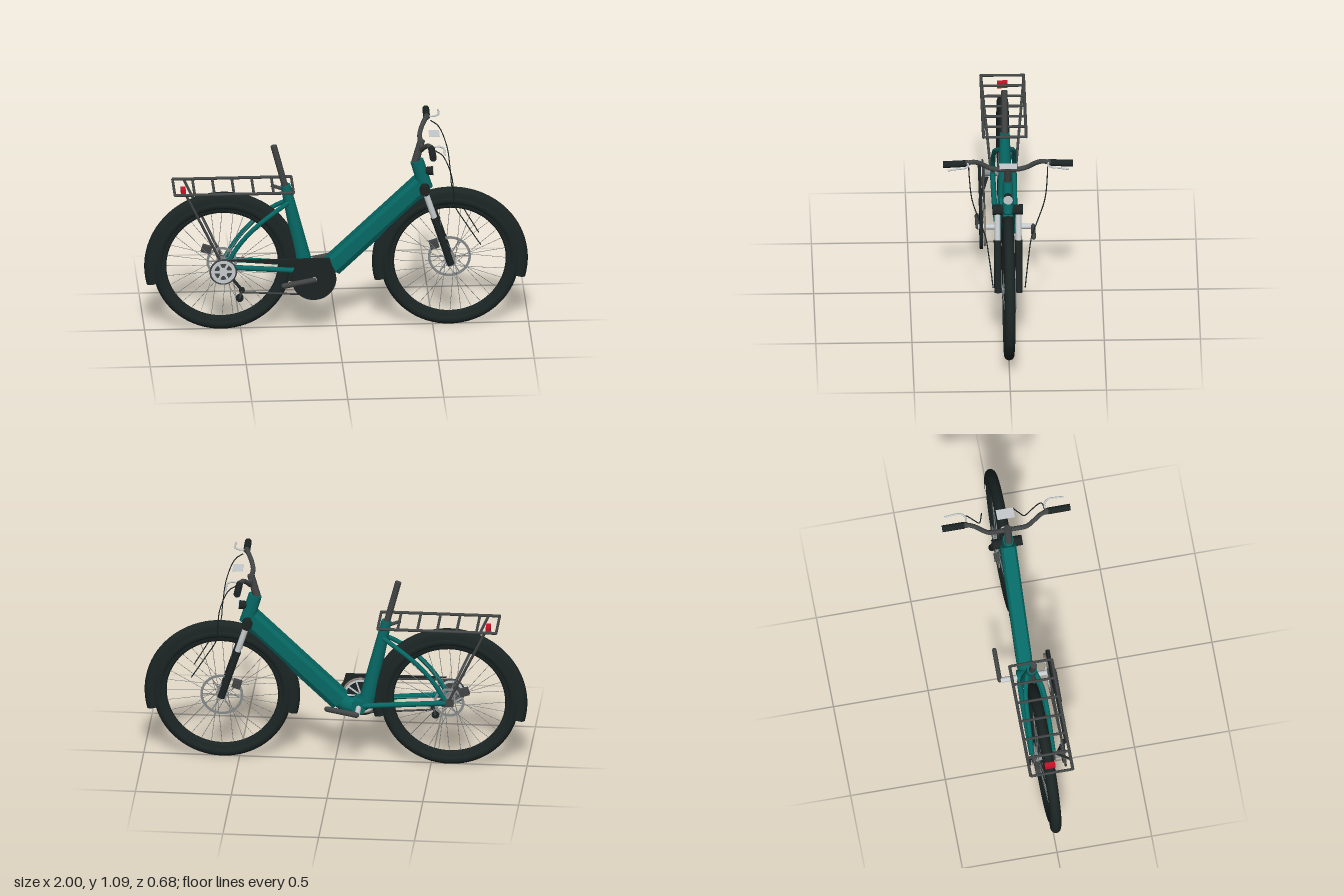
import * as THREE from 'three';

const V = (x, y, z) => new THREE.Vector3(x, y, z);
const mat = (name, color, opts = {}) => {
  const m = new THREE.MeshStandardMaterial({ color, ...opts });
  m.name = name;
  return m;
};

export function createModel() {
  const teal = mat('teal paint', 0x066864);
  const rubber = mat('black rubber', 0x1a2423);
  const fenderBlack = mat('fender black', 0x1b2524, { side: THREE.DoubleSide });
  const black = mat('black plastic', 0x1c2423);
  const grey = mat('dark grey metal', 0x424545);
  const steel = mat('steel', 0x868a8b);
  const silver = mat('silver', 0xc6cbcd);
  const chainMetal = mat('chain metal', 0x8f8677);
  const red = mat('red lens', 0xcc1029);
  const bike = new THREE.Group();
  bike.name = 'bicycle';

  const add = (name, geo, material, parent = bike) => {
    const m = new THREE.Mesh(geo, material);
    m.name = name;
    parent.add(m);
    return m;
  };
  // straight round bar from a to b
  const rod = (name, a, b, r, material, parent = bike, r2 = r, sides = 14) => {
    const m = add(name, new THREE.CylinderGeometry(r2, r, a.distanceTo(b), sides), material, parent);
    m.position.copy(a).lerp(b, 0.5);
    m.quaternion.setFromUnitVectors(V(0, 1, 0), b.clone().sub(a).normalize());
    return m;
  };
  // bent round bar through points
  const bent = (name, pts, r, material, sides = 10) =>
    add(name, new THREE.TubeGeometry(new THREE.CatmullRomCurve3(pts), 48, r, sides), material);
  const box = (name, w, h, d, x, y, z, material, rot = 0) => {
    const m = add(name, new THREE.BoxGeometry(w, h, d), material);
    m.position.set(x, y, z);
    m.rotation.z = rot;
    return m;
  };
  // flat ring facing z, with arms to the centre
  const spider = (name, outer, inner, depth, arms, armWidth, material, parent) => {
    const g = new THREE.Group();
    g.name = name;
    const s = new THREE.Shape().absarc(0, 0, outer, 0, Math.PI * 2);
    s.holes.push(new THREE.Path().absarc(0, 0, inner, 0, Math.PI * 2, true));
    add(name + 'Ring', new THREE.ExtrudeGeometry(s, { depth, bevelEnabled: false, curveSegments: 40 })
      .translate(0, 0, -depth / 2), material, g);
    for (let i = 0; i < arms; i++) {
      const a = i / arms * Math.PI * 2, len = inner + 0.003;
      const arm = add(name + 'Arm', new THREE.BoxGeometry(len, armWidth, depth * 0.8), material, g);
      arm.position.set(Math.cos(a) * len / 2, Math.sin(a) * len / 2, 0);
      arm.rotation.z = a;
    }
    parent.add(g);
    return g;
  };

  // wheels with tyre, rim, crossed spokes, hub, brake disc and fender
  const HY = 0.363, RX = -0.596, FX = 0.59;
  const wheel = (name, x, discRadius) => {
    const g = new THREE.Group();
    g.name = name;
    g.position.set(x, HY, 0);
    bike.add(g);
    add('tyre', new THREE.TorusGeometry(0.335, 0.027, 14, 72), rubber, g);
    const rim = [[0.318, -0.018], [0.3, -0.016], [0.291, -0.008], [0.291, 0.008], [0.3, 0.016], [0.318, 0.018]];
    add('rim', new THREE.LatheGeometry(rim.map(p => new THREE.Vector2(...p)), 64).rotateX(Math.PI / 2), fenderBlack, g);
    for (let i = 0; i < 32; i++) {
      const a = i / 32 * Math.PI * 2, side = i % 2 ? 1 : -1, h = a + (i % 4 < 2 ? 1.2 : -1.2);
      rod('spoke', V(Math.cos(h) * 0.026, Math.sin(h) * 0.026, side * 0.03),
        V(Math.cos(a) * 0.295, Math.sin(a) * 0.295, side * 0.003), 0.0014, steel, g, 0.0014, 4);
    }
    rod('hub', V(0, 0, -0.035), V(0, 0, 0.035), 0.017, steel, g);
    for (const s of [-1, 1]) rod('hubFlange', V(0, 0, s * 0.027), V(0, 0, s * 0.033), 0.029, steel, g, 0.029, 24);
    rod('axle', V(0, 0, -0.068), V(0, 0, 0.068), 0.008, grey, g);
    spider('brakeDisc', discRadius, discRadius - 0.013, 0.004, 6, 0.006, steel, g).position.z = -0.036;
    const prof = [[0.352, -0.0285], [0.378, -0.0285], [0.393, -0.022], [0.402, -0.012], [0.406, 0],
      [0.402, 0.012], [0.393, 0.022], [0.378, 0.0285], [0.352, 0.0285]];
    const end = THREE.MathUtils.degToRad(75), sweep = THREE.MathUtils.degToRad(210);
    add('fender', new THREE.LatheGeometry(prof.map(p => new THREE.Vector2(...p)), 48, end, sweep)
      .rotateX(Math.PI / 2), fenderBlack, g);
    return g;
  };
  const rear = wheel('rearWheel', RX, 0.08);
  wheel('frontWheel', FX, 0.112);
  box('frontCaliper', 0.045, 0.045, 0.026, 0.51, 0.43, -0.045, grey, 0.3);
  box('rearCaliper', 0.05, 0.04, 0.026, -0.675, 0.43, -0.045, grey, -0.3);

  // big chamfered down tube
  const a = V(-0.025, 0.34, 0), b = V(0.445, 0.79, 0), d = b.clone().sub(a).normalize();
  const sec = new THREE.Shape([[-0.03, -0.054], [0.03, -0.054], [0.041, -0.035], [0.041, 0.025],
    [0.022, 0.054], [-0.022, 0.054], [-0.041, 0.025], [-0.041, -0.035]].map(p => new THREE.Vector2(...p)));
  const down = add('downTube', new THREE.ExtrudeGeometry(sec, { depth: a.distanceTo(b), bevelEnabled: false }), teal);
  down.applyMatrix4(new THREE.Matrix4().makeBasis(V(0, 0, 1), V(d.y, -d.x, 0), d).setPosition(a));

  // remaining frame tubes
  rod('headTube', V(0.465, 0.765, 0), V(0.418, 0.922, 0), 0.037, teal, bike, 0.035, 20).scale.z = 0.78;
  rod('seatTube', V(-0.165, 0.34, 0), V(-0.267, 0.8, 0), 0.044, teal, bike, 0.026, 20);
  bent('bottomBend', [V(-0.18, 0.38, 0), V(-0.14, 0.325, 0), V(-0.07, 0.315, 0), V(0.01, 0.365, 0)], 0.042, teal, 16);
  rod('bottomBracket', V(-0.125, 0.32, -0.052), V(-0.125, 0.32, 0.052), 0.038, teal, bike, 0.038, 24);
  for (const s of [-1, 1]) {
    bent('seatStay', [V(-0.25, 0.71, s * 0.02), V(-0.33, 0.66, s * 0.045), V(-0.43, 0.58, s * 0.053),
      V(-0.51, 0.49, s * 0.055), V(-0.575, 0.385, s * 0.056)], 0.012, teal);
    bent('chainStay', [V(-0.15, 0.33, s * 0.045), V(-0.3, 0.345, s * 0.052), V(-0.58, 0.368, s * 0.056)], 0.014, teal);
    box('dropout', 0.06, 0.04, 0.01, -0.59, 0.368, s * 0.056, grey);
  }
  rod('seatPost', V(-0.265, 0.78, 0), V(-0.328, 1.022, 0), 0.017, grey);

  // fork
  const top = V(0.462, 0.755, 0), low = V(FX, HY, 0);
  for (const s of [-1, 1]) {
    const at = t => top.clone().lerp(low, t).setZ(s * 0.055);
    rod('forkStanchion', at(-0.02), at(0.42), 0.016, silver);
    rod('forkLower', at(0.35), at(1.02), 0.019, black);
    rod('forkCollar', at(0.34), at(0.38), 0.02, black);
  }
  rod('forkCrown', V(0.456, 0.776, -0.079), V(0.456, 0.776, 0.079), 0.027, black, bike, 0.027, 24);

  // headlight
  rod('headlight', V(0.44, 0.862, 0), V(0.502, 0.862, 0), 0.018, black, bike, 0.024);
  rod('headlightLens', V(0.501, 0.862, 0), V(0.507, 0.862, 0), 0.0245, silver, bike, 0.0245, 24);

  // stem, handlebar, grips, levers, cables and display
  rod('stem', V(0.41, 0.915, 0), V(0.442, 1.035, 0), 0.021, grey, bike, 0.019);
  const half = [[0.44, 1.011, 0.05], [0.438, 1.023, 0.1], [0.45, 1.052, 0.138], [0.468, 1.075, 0.175],
    [0.482, 1.078, 0.22], [0.484, 1.073, 0.33]];
  bent('handlebar', [...half.map(p => V(p[0], p[1], -p[2])).reverse(), V(0.44, 1.011, 0), ...half.map(p => V(...p))], 0.0125, grey);
  for (const s of [-1, 1]) {
    rod('grip', V(0.482, 1.075, s * 0.22), V(0.484, 1.071, s * 0.338), 0.018, black);
    rod('leverClamp', V(0.479, 1.077, s * 0.205), V(0.482, 1.077, s * 0.222), 0.016, grey);
    bent('brakeLever', [V(0.485, 1.08, s * 0.212), V(0.52, 1.083, s * 0.208), V(0.543, 1.083, s * 0.23),
      V(0.546, 1.08, s * 0.27), V(0.546, 1.072, s * 0.315)], 0.005, silver, 8);
    bent('brakeCable', [V(0.5, 1.06, s * 0.205), V(0.54, 1.03, s * 0.203), V(0.585, 0.92, s * 0.19), V(0.602, 0.79, s * 0.149),
      V(0.61, 0.71, s * 0.121), V(0.67, 0.6, s * 0.101), V(0.745, 0.475, s * 0.083)], 0.003, black, 6);
  }
  box('display', 0.055, 0.0015, 0.092, 0.508, 1.071, 0, silver);

  // rear rack with stays and tail light
  const RY = 0.8;
  for (const s of [-1, 1]) {
    rod('rackRail', V(-0.85, RY, s * 0.111), V(-0.228, RY, s * 0.111), 0.008, grey);
    rod('rackStay', V(-0.79, RY, s * 0.109), V(-0.6, 0.39, s * 0.066), 0.007, grey);
  }
  for (const x of [-0.848, -0.745, -0.642, -0.54, -0.437, -0.334, -0.23])
    rod('rackCrossbar', V(x, RY, -0.111), V(x, RY, 0.111), 0.007, grey);
  rod('rackMount', V(-0.34, RY, 0), V(-0.262, 0.77, 0), 0.009, grey);
  box('tailLight', 0.024, 0.034, 0.055, -0.798, 0.776, 0, red);

  // chain case
  const cx = -0.125, cy = 0.32, rad = THREE.MathUtils.degToRad;
  const cs = new THREE.Shape();
  cs.moveTo(-0.57, 0.402);
  cs.absarc(cx, cy, 0.116, rad(135), rad(395), false);
  cs.lineTo(-0.043, 0.434);
  cs.lineTo(-0.57, 0.434);
  add('chainCase', new THREE.ExtrudeGeometry(cs, { depth: 0.016, bevelEnabled: false, curveSegments: 40 })
    .translate(0, 0, 0.118), black);

  // cranks, chainring and rear sprocket
  const CZ = 0.108;
  spider('chainring', 0.094, 0.08, 0.008, 10, 0.008, silver, bike).position.set(cx, cy, CZ);
  add('chainWrap', new THREE.TorusGeometry(0.096, 0.006, 6, 48), chainMetal).position.set(cx, cy, CZ);
  rod('crankAxle', V(cx, cy, -0.14), V(cx, cy, 0.142), 0.014, silver);
  for (const s of [-1, 1]) {
    const arm = add('crankArm', new THREE.CapsuleGeometry(0.015, 0.155, 6, 14).scale(1, 1, 0.8), grey);
    arm.position.set(cx - s * 0.08, cy - s * 0.015, s * 0.144);
    arm.rotation.z = Math.PI / 2 + Math.atan2(0.03, 0.16);
  }
  spider('sprocket', 0.064, 0.046, 0.006, 6, 0.012, silver, rear).position.z = CZ;
  add('sprocketChain', new THREE.TorusGeometry(0.067, 0.005, 6, 40), grey, rear).position.z = CZ;
  rod('sprocketBack', V(0, 0, CZ - 0.012), V(0, 0, CZ - 0.004), 0.05, grey, rear, 0.05, 32);
  rod('sprocketCap', V(0, 0, CZ - 0.005), V(0, 0, CZ + 0.005), 0.022, silver, rear, 0.022, 24);
  rod('freewheel', V(0, 0, 0.03), V(0, 0, CZ), 0.018, steel, rear);

  // derailleur and chain
  const p1 = V(-0.5, 0.265, 0.122), p2 = V(-0.512, 0.22, 0.122), thick = V(0, 0, 0.007);
  rod('upperPulley', p1.clone().sub(thick), p1.clone().add(thick), 0.015, black, bike, 0.015, 20);
  rod('lowerPulley', p2.clone().sub(thick), p2.clone().add(thick), 0.02, black, bike, 0.02, 20);
  rod('derailleurArm', V(-0.575, 0.35, 0.085), p1, 0.008, black);
  rod('derailleurCage', p1, p2, 0.008, grey);
  rod('upperChain', V(RX, HY + 0.067, CZ), V(cx, cy + 0.096, CZ), 0.005, grey, bike, 0.005, 6);
  rod('lowerChain', V(-0.495, 0.25, 0.118), V(cx, cy - 0.096, CZ), 0.005, grey, bike, 0.005, 6);

  return bike;
}
